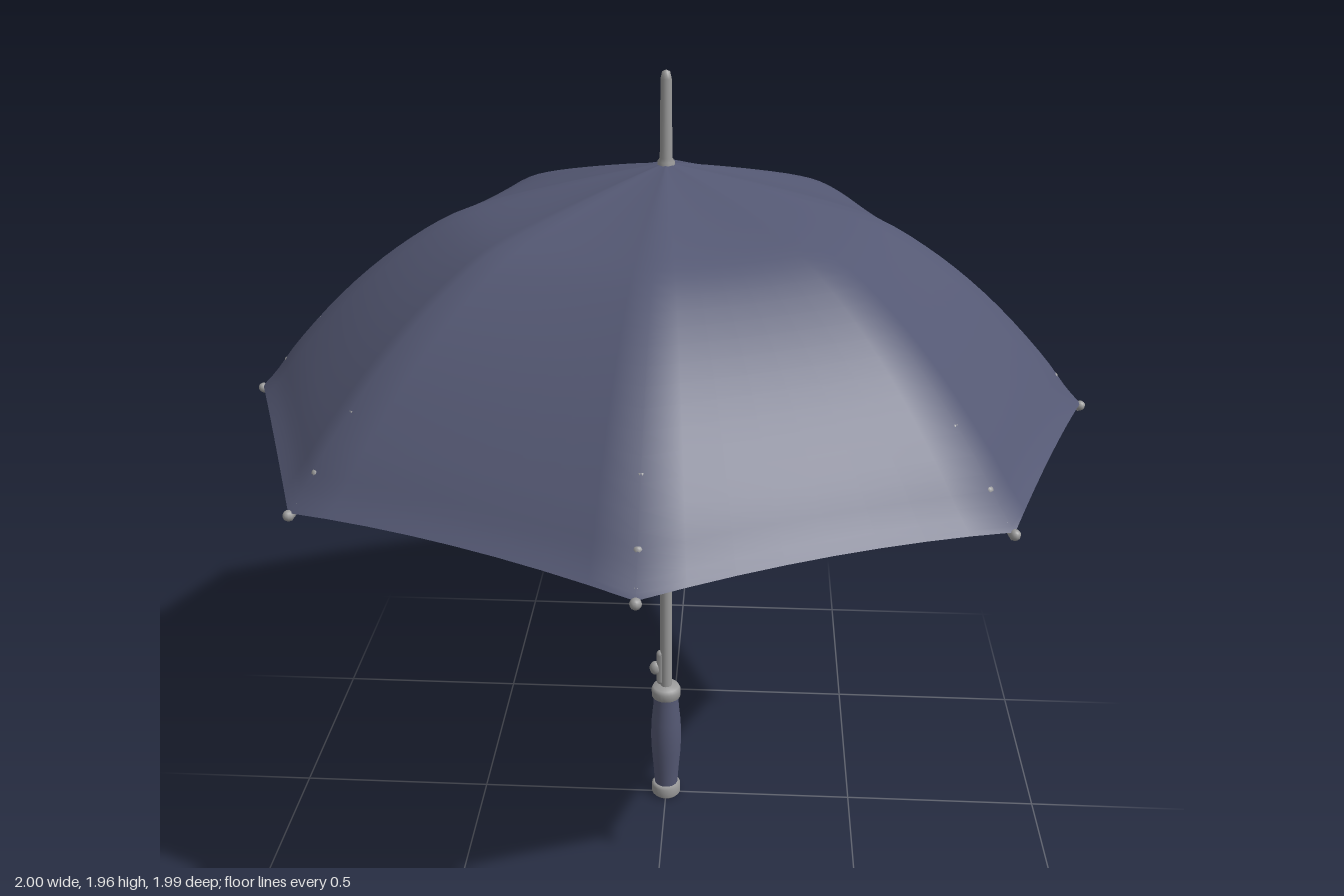
import * as THREE from 'three';

const RIBS = 8;
const fabric = new THREE.MeshStandardMaterial({ name: 'navy fabric', color: 0x545873, side: THREE.DoubleSide });
const metal = new THREE.MeshStandardMaterial({ name: 'grey metal', color: 0x9a9a9a });

// Rib profile from crown to rim: x = fraction of the full radius, y = height
const profile = new THREE.SplineCurve([
  [0.012, 1.752], [0.12, 1.73], [0.26, 1.698], [0.4, 1.662], [0.5, 1.627], [0.6, 1.57],
  [0.7, 1.498], [0.8, 1.41], [0.9, 1.305], [0.96, 1.23], [1, 1.188],
].map(([r, y]) => new THREE.Vector2(r, y)));

// Rim position of rib k
function ribTip(k) {
  const a = (k * Math.PI * 2) / RIBS;
  const diagonal = k % 2 === 1;
  return new THREE.Vector2(
    Math.cos(a) * (diagonal ? 1.039 : 0.99),
    Math.sin(a) * (diagonal ? 0.95 : 0.982));
}

function add(parent, name, geometry, material) {
  const mesh = new THREE.Mesh(geometry, material);
  mesh.name = name;
  parent.add(mesh);
  return mesh;
}

function lathe(parent, name, points, material, segments = 24) {
  return add(parent, name, new THREE.LatheGeometry(points.map(([r, y]) => new THREE.Vector2(r, y)), segments), material);
}

function rod(parent, name, from, to, r0, r1 = r0) {
  const axis = to.clone().sub(from);
  const mesh = add(parent, name, new THREE.CylinderGeometry(r1, r0, axis.length(), 8), metal);
  mesh.position.copy(from).addScaledVector(axis, 0.5);
  mesh.quaternion.setFromUnitVectors(new THREE.Vector3(0, 1, 0), axis.normalize());
  return mesh;
}

function ball(parent, name, position, radius) {
  add(parent, name, new THREE.SphereGeometry(radius, 10, 8), metal).position.copy(position);
}

// Fabric stretched nearly straight from rib to rib, with a scalloped rim
function canopyGeometry() {
  const rings = 28, steps = 8, around = RIBS * steps;
  const positions = [], index = [];
  for (let i = 0; i <= rings; i++) {
    const p = profile.getPoint(i / rings);
    for (let j = 0; j < around; j++) {
      const k = Math.floor(j / steps), u = (j % steps) / steps;
      const q = ribTip(k).lerp(ribTip((k + 1) % RIBS), u);
      const bow = 4 * u * (1 - u);
      const lift = bow * (0.02 * p.x ** 8 - 0.006 * Math.sin(Math.PI * p.x));
      positions.push(q.x * p.x, p.y + lift, q.y * p.x);
      if (i < rings) {
        const next = (j + 1) % around;
        const a = i * around + j, b = a + around, c = i * around + next, d = c + around;
        index.push(a, c, b, b, c, d);
      }
    }
  }
  const geometry = new THREE.BufferGeometry();
  geometry.setAttribute('position', new THREE.Float32BufferAttribute(positions, 3));
  geometry.setIndex(index);
  geometry.computeVertexNormals();
  return geometry;
}

// One rib with its stretcher, joints, ties and end tip
function ribAssembly(k) {
  const group = new THREE.Group();
  group.name = 'rib' + (k + 1);
  const tip = ribTip(k);
  const at = (r, y) => new THREE.Vector3(tip.x * r, y, tip.y * r);
  const under = (t, drop) => {
    const p = profile.getPoint(t);
    return at(p.x, p.y - drop);
  };
  const path = [];
  for (let i = 0; i <= 14; i++) path.push(under(0.02 + (i / 14) * 0.975, 0.016));
  add(group, 'ribBar', new THREE.TubeGeometry(new THREE.CatmullRomCurve3(path), 36, 0.007, 6), metal);

  const joint = at(0.55, 1.555);
  rod(group, 'stretcher', at(0.035, 1.385), joint, 0.011);
  rod(group, 'upperArm', at(0.025, 1.7), at(0.52, 1.59), 0.009);
  rod(group, 'jointLink', joint, at(0.52, 1.6), 0.01);
  rod(group, 'outerLink', joint, under(0.73, 0.018), 0.005);
  ball(group, 'joint', joint, 0.018);
  for (const t of [0.62, 0.73, 0.84, 0.93]) ball(group, 'fabricTie', under(t, 0.016), 0.011);

  const end = at(1, 1.182);
  rod(group, 'ribTip', under(0.975, 0.008), end, 0.007, 0.009);
  ball(group, 'ribTipEnd', end, 0.012);
  return group;
}

export function createModel() {
  const umbrella = new THREE.Group();
  umbrella.name = 'umbrella';

  add(umbrella, 'canopy', canopyGeometry(), fabric);

  // Shaft, top spike and the fittings that slide on the shaft
  lathe(umbrella, 'shaft', [[0.0155, 0.33], [0.0155, 1.73]], metal, 16);
  lathe(umbrella, 'topSpike', [[0.02, 1.735], [0.02, 1.757], [0.0145, 1.765], [0.0125, 1.94], [0.009, 1.956], [0, 1.96]], metal, 16);
  lathe(umbrella, 'crown', [[0.016, 1.67], [0.03, 1.68], [0.03, 1.735], [0.016, 1.74]], metal);
  lathe(umbrella, 'runner', [[0.016, 1.25], [0.026, 1.252], [0.028, 1.32], [0.04, 1.35], [0.042, 1.39], [0.03, 1.405], [0.016, 1.41]], metal);
  lathe(umbrella, 'shaftCollar', [[0.015, 1.165], [0.024, 1.17], [0.024, 1.187], [0.015, 1.193]], metal);

  // Ribs under the fabric
  const frame = new THREE.Group();
  frame.name = 'frame';
  for (let k = 0; k < RIBS; k++) frame.add(ribAssembly(k));
  umbrella.add(frame);

  // Handle with a swelling grip between two caps
  const handle = new THREE.Group();
  handle.name = 'handle';
  lathe(handle, 'bottomCap', [[0, 0], [0.034, 0], [0.039, 0.006], [0.039, 0.03], [0.033, 0.038], [0, 0.038]], metal);
  lathe(handle, 'grip', [[0.031, 0.034], [0.034, 0.08], [0.039, 0.14], [0.041, 0.19], [0.039, 0.24], [0.034, 0.29], [0.033, 0.325]], fabric);
  lathe(handle, 'topCap', [[0.03, 0.315], [0.038, 0.318], [0.039, 0.338], [0.034, 0.348], [0.015, 0.352]], metal);
  umbrella.add(handle);

  // Release button on the right side of the shaft
  const button = new THREE.Group();
  button.name = 'releaseButton';
  add(button, 'buttonHousing', new THREE.CapsuleGeometry(0.012, 0.08, 4, 10), metal).position.set(-0.014, 0.405, 0);
  const knob = add(button, 'buttonKnob', new THREE.SphereGeometry(0.018, 12, 8), metal);
  knob.position.set(-0.028, 0.402, 0);
  knob.scale.set(0.9, 1.1, 0.8);
  umbrella.add(button);

  return umbrella;
}
